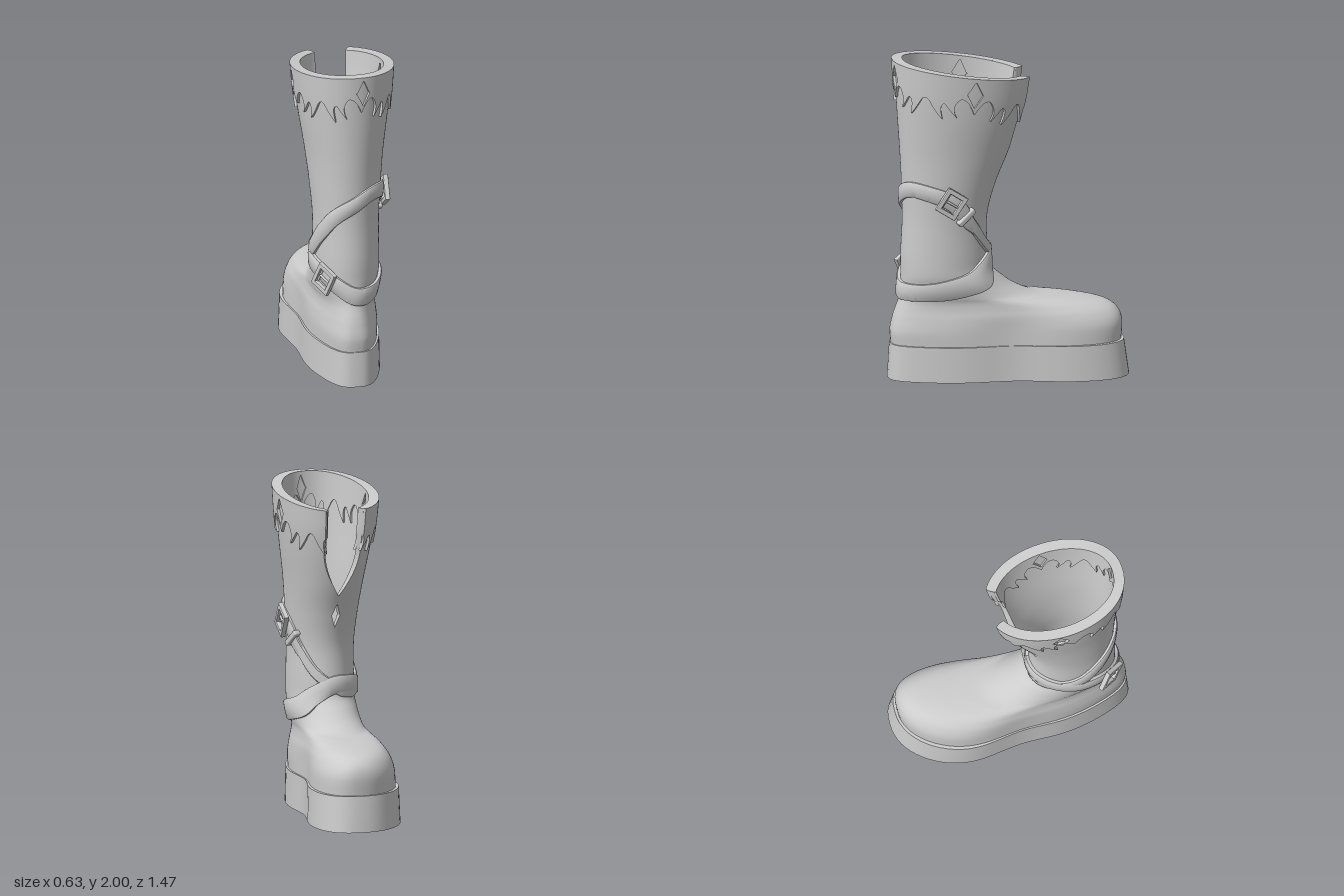
import * as THREE from 'three';
import { toCreasedNormals } from 'three/addons/utils/BufferGeometryUtils.js';
import { RoundedBoxGeometry } from 'three/addons/geometries/RoundedBoxGeometry.js';

const mat = new THREE.MeshStandardMaterial({ color: 0xcccccc, side: THREE.DoubleSide });
const lerp = THREE.MathUtils.lerp, PI = Math.PI;

// Cross-sections from sole edge to top:
// heel y, heel z, toe y, toe z, half width at heel, at toe, waist pinch, roundness
const SECTIONS = [
  [.22, .715, .22, -.685, .19, .335, .17, .85],
  [.30, .72, .33, -.69, .193, .325, .17, .85],
  [.38, .705, .40, -.665, .193, .295, .13, .9],
  [.43, .69, .445, -.60, .19, .255, .09, .92],
  [.47, .675, .47, -.48, .19, .225, .06, .95],
  [.50, .665, .487, -.32, .19, .205, .03, .97],
  [.53, .66, .505, -.17, .19, .20, .01, 1],
  [.57, .658, .555, -.05, .19, .20, 0, 1],
  [.61, .656, .62, .04, .195, .20, 0, 1],
  [.66, .655, .69, .11, .20, .20, 0, 1],
  [.78, .655, .78, .12, .20, .20, 0, 1],
  [1.0, .645, 1.0, .125, .20, .20, 0, 1],
  [1.22, .65, 1.2, .075, .215, .215, 0, 1],
  [1.42, .66, 1.4, -.005, .235, .235, 0, .97],
  [1.65, .675, 1.6, -.075, .265, .265, 0, .94],
  [1.82, .685, 1.74, -.112, .283, .283, 0, .92],
  [2.0, .693, 1.88, -.135, .295, .295, 0, .92],
];
const TOP = SECTIONS.length - 1, WALL = .036;

// Catmull-Rom value between four numbers
const spline = (a, b, c, d, t) =>
  b + .5 * t * (c - a + t * (2 * a - 5 * b + 4 * c - d + t * (3 * (b - c) + d - a)));

function section(v) {
  const i = Math.min(Math.floor(v), TOP - 1);
  const at = k => SECTIONS[Math.max(0, Math.min(TOP, k))];
  return SECTIONS[0].map((_, k) => spline(at(i - 1)[k], at(i)[k], at(i + 1)[k], at(i + 2)[k], v - i));
}

// Point on a section; angle 0 is the heel, PI/2 is +x, PI is the toe.
// Low sections have a squarer heel, a pinched waist and a toe swung to +x.
function ringPoint([yb, zb, yf, zf, hh, ht, pinch, p], a, off = 0) {
  const s = (1 - Math.cos(a)) / 2, zr = (zb - zf) / 2;
  const w = lerp(hh, ht, s) * (1 - pinch * Math.exp(-((Math.cos(a) / .35) ** 2)));
  const z = lerp(zb, zf, s), power = p - Math.max(0, pinch) * (1 - s);
  const x = Math.sign(Math.sin(a)) * Math.abs(Math.sin(a)) ** power * w + (z < 0 && yf < 1 ? .19 * z * z : 0);
  const n = new THREE.Vector2(Math.sin(a) / w, Math.cos(a) / zr).normalize();
  return new THREE.Vector3(x + n.x * off, lerp(yb, yf, s), z + n.y * off);
}

// Point on the boot surface at a given angle and height
function surf(a, y, off) {
  let lo = 0, hi = TOP;
  for (let i = 0; i < 18; i++) {
    const m = (lo + hi) / 2, q = section(m);
    if (lerp(q[0], q[2], (1 - Math.cos(a)) / 2) < y) lo = m; else hi = m;
  }
  return ringPoint(section(lo), a, off);
}

function grid(nu, nv, fn, crease = .7) {
  const pos = [], idx = [];
  for (let j = 0; j <= nv; j++)
    for (let i = 0; i <= nu; i++) pos.push(...fn(i / nu, j / nv, i, j).toArray());
  for (let j = 0; j < nv; j++)
    for (let i = 0; i < nu; i++) {
      const a = j * (nu + 1) + i, b = a + nu + 1;
      idx.push(a, a + 1, b + 1, a, b + 1, b);
    }
  const g = new THREE.BufferGeometry();
  g.setAttribute('position', new THREE.Float32BufferAttribute(pos, 3));
  g.setIndex(idx);
  return toCreasedNormals(g, crease);
}

// Half angle of the front opening: notch above, small diamond hole below
function slit(q) {
  const y = q[2];
  let h = 0;
  if (y > 1.33) h = .115 * Math.sin(Math.min(1, (y - 1.33) / .29) * PI / 2);
  else if (Math.abs(y - 1.2) < .075) h = .026 * (1 - Math.abs(y - 1.2) / .075);
  return Math.asin((h / q[4]) ** (1 / q[7]));
}

// Cuff lower edge: depth below the rim over one repeat, cusped tips and round arches
const FLAME = [[0, .235], [.13, .14], [.24, .27], [.3, .18], [.38, .29], [.5, .16],
  [.62, .29], [.7, .18], [.76, .27], [.87, .14], [1, .235]];
const repeat = a => ((a / (PI / 2)) % 1 + 1) % 1;
function flame(a) {
  const p = repeat(a), k = FLAME.findIndex((f, i) => i > 0 && p <= f[0]);
  const [p0, d0] = FLAME[k - 1], [p1, d1] = FLAME[k], t = (p - p0) / (p1 - p0);
  return lerp(d0, d1, d1 > d0 ? t * t : 1 - (1 - t) ** 2);
}

// Belt centre heights at every 30 degrees
const LOWER = [.565, .555, .565, .595, .635, .71, .765, .765, .745, .72, .69, .625];
const UPPER = [1.15, 1.205, 1.19, 1.13, .99, .84, .76, .73, .74, .8, .94, 1.07];
function beltY(list, a) {
  const t = ((a / (PI / 6)) % 12 + 12) % 12, i = Math.floor(t), at = k => list[(k + 12) % 12];
  return spline(at(i - 1), at(i), at(i + 1), at(i + 2), t - i);
}

export function createModel() {
  const model = new THREE.Group();
  const add = (name, geo, parent = model) => {
    const m = new THREE.Mesh(geo, mat);
    m.name = name;
    parent.add(m);
    return m;
  };

  // Platform sole: closed bottom, sloping wall, closed top
  const soleLow = [0, .735, 0, -.73, .203, .37, .19, .83], soleHigh = [.22, .722, .22, -.7, .2, .36, .19, .83];
  add('sole', grid(80, 3, (u, _, i, j) => {
    const p = ringPoint(j < 2 ? soleLow : soleHigh, (2 * u - 1) * PI);
    return j === 0 || j === 3 ? new THREE.Vector3(0, p.y, 0) : p;
  }));

  // Foot and shaft in one skin, with lining, rim and opening edges
  const shell = (u, v, off) => {
    const q = section(v);
    return ringPoint(q, (2 * u - 1) * (PI - slit(q)), off);
  };
  add('upper', grid(96, 200, (u, v) => shell(u, v * TOP, 0), 1));
  add('lining', grid(72, 82, (u, _, i, j) => {
    const p = shell(1 - u, 10 + 6 * Math.max(0, j - 2) / 80, -WALL);
    if (j < 2) p.y = .26;
    return j === 0 ? new THREE.Vector3(0, .26, .39) : p;
  }));
  add('rim', grid(96, 1, (u, v) => shell(u, TOP, -WALL * v)));
  for (const side of [0, 1])
    add('openingEdge', grid(1, 100, (u, v) => shell(side, 11 + 5 * v, -WALL * (side ? u : 1 - u))));

  // Cuff, outside and inside: two bands that part around the diamond cutouts
  const endAngle = PI - slit(SECTIONS[TOP]);
  const diamond = a => {
    const near = Math.abs(a) < PI / 4 ? .13 : Math.sign(a) * 1.66;
    return .085 * Math.max(0, 1 - Math.abs(a - near) / .12);
  };
  const cuffBand = (name, base, face, lower) => add(name, grid(300, 8, (u, _, i, j) => {
    const a = (2 * (face < base ? 1 - u : u) - 1) * endAngle, top = ringPoint(section(TOP), a).y;
    const start = lower ? flame(a - .1) : .105 - diamond(a), end = lower ? .105 + diamond(a) : 0;
    const d = lerp(start, end, Math.min(1, Math.max(0, (j - 1) / 6)));
    const edge = j === 0 || j === 8 || i === 0 || i === 300;
    // tips curl towards the nearest diamond
    const lean = 5 * Math.max(0, d - .19) ** 1.5 * Math.sin(2 * PI * repeat(a - .1));
    return surf(Math.max(-endAngle, Math.min(endAngle, a - lean)), top - d, edge ? base : face);
  }));
  for (const lower of [false, true]) {
    cuffBand('cuffOutside', -.004, .016, lower);
    cuffBand('cuffInside', -WALL + .004, -WALL - .012, lower);
  }

  // Crossing straps
  const PROFILE = [[-1, -.01], [-1, .014], [-.85, .02], [0, .022], [.85, .02], [1, .014], [1, -.01]];
  const strap = (name, list, halfWidth, lift) => add(name, grid(120, 6, (u, _, i, j) => {
    const a = u * 2 * PI, slope = (beltY(list, a + .05) - beltY(list, a - .05)) / .1 / .27;
    const w = halfWidth(a) * Math.sqrt(1 + slope * slope);
    return surf(a, beltY(list, a) + PROFILE[j][0] * w, PROFILE[j][1] + lift);
  }));
  strap('lowerStrap', LOWER, () => .054, .004);
  strap('upperStrap', UPPER, a => .047 - .014 * THREE.MathUtils.smoothstep(a, 1.9, 2.2)
    * (1 - THREE.MathUtils.smoothstep(a, 3, 3.4)), 0);

  // Group lying on a strap: x along it, z outward
  const onStrap = (name, list, a, lift) => {
    const g = new THREE.Group(), at = b => surf(b, beltY(list, b), lift);
    const x = at(a + .12).sub(at(a - .12)).normalize();
    const z = at(a).sub(surf(a, beltY(list, a), lift - .1));
    z.addScaledVector(x, -z.dot(x)).normalize();
    g.matrix.makeBasis(x, z.clone().cross(x), z).setPosition(at(a));
    g.matrix.decompose(g.position, g.quaternion, g.scale);
    g.name = name;
    model.add(g);
    return g;
  };

  // Buckles: square frame, prong and hinge bar
  const rect = (C, w, h) => new C([[-w, -h], [w, -h], [w, h], [-w, h]].map(p => new THREE.Vector2(...p)));
  const frame = rect(THREE.Shape, .064, .074);
  frame.holes.push(rect(THREE.Path, .049, .057));
  const frameGeo = new THREE.ExtrudeGeometry(frame,
    { depth: .018, bevelThickness: .007, bevelSize: .006, bevelSegments: 2 });
  for (const [list, a] of [[UPPER, 1.53], [LOWER, -.82]]) {
    const g = onStrap('buckle', list, a, .026);
    add('buckleFrame', frameGeo, g);
    const prong = add('buckleProng', new THREE.CylinderGeometry(.006, .008, .1, 10), g);
    prong.rotation.z = -PI / 2;
    prong.position.set(.015, 0, .008);
    add('buckleBar', new THREE.CylinderGeometry(.007, .007, .12, 10), g).position.x = -.04;
  }

  // Keeper loop beside the upper buckle
  add('keeperLoop', new RoundedBoxGeometry(.036, .135, .044, 2, .01), onStrap('keeper', UPPER, 1.92, .018));
  return model;
}
